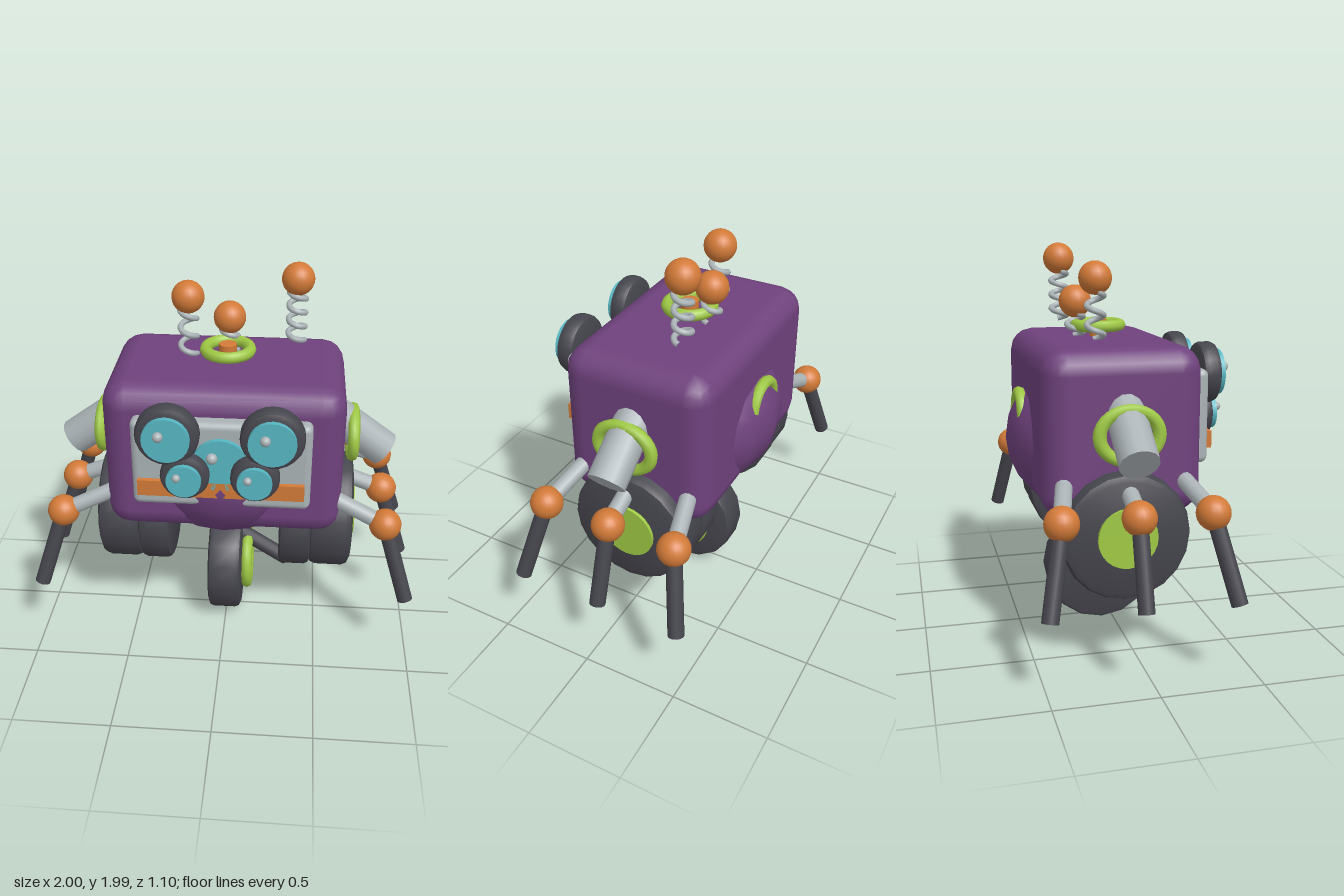
import * as THREE from 'three';
import { RoundedBoxGeometry } from 'three/addons/geometries/RoundedBoxGeometry.js';
import { toCreasedNormals } from 'three/addons/utils/BufferGeometryUtils.js';

const paint = (name, color) => {
  const m = new THREE.MeshStandardMaterial({ color });
  m.name = name;
  return m;
};
const V = (x, y, z) => new THREE.Vector3(x, y, z);
const CZ = -0.06; // depth of the body centre

export function createModel() {
  const root = new THREE.Group();
  root.name = 'robot';
  const purple = paint('purple', 0x6f427d);
  const grey = paint('grey', 0xaab2b5);
  const orange = paint('orange', 0xd27a38);
  const rubber = paint('rubber', 0x45454d);
  const teal = paint('teal', 0x56b6c2);
  const green = paint('green', 0x9fc945);

  const add = (name, geometry, material, x = 0, y = 0, z = 0) => {
    const mesh = new THREE.Mesh(geometry, material);
    mesh.name = name;
    mesh.position.set(x, y, z);
    root.add(mesh);
    return mesh;
  };
  const ball = (name, r, mat, x, y, z) => add(name, new THREE.SphereGeometry(r, 20, 14), mat, x, y, z);

  // cylinder between two points
  const rod = (name, a, b, r, mat, sides = 12) => {
    const dir = b.clone().sub(a);
    const mesh = add(name, new THREE.CylinderGeometry(r, r, dir.length(), sides), mat);
    mesh.position.copy(a).add(b).multiplyScalar(0.5);
    mesh.quaternion.setFromUnitVectors(V(0, 1, 0), dir.normalize());
    return mesh;
  };

  // bevelled disc between two points, used for tyres
  const tyre = (name, a, b, r, bevel, sides = 20) => {
    const dir = b.clone().sub(a), h = dir.length() / 2, k = bevel * 0.3;
    const profile = [[0, -h], [r - bevel, -h], [r - k, -h + k], [r, -h + bevel],
      [r, h - bevel], [r - k, h - k], [r - bevel, h], [0, h]].map(p => new THREE.Vector2(...p));
    const mesh = add(name, toCreasedNormals(new THREE.LatheGeometry(profile, sides), 0.7), rubber);
    mesh.position.copy(a).add(b).multiplyScalar(0.5);
    mesh.quaternion.setFromUnitVectors(V(0, 1, 0), dir.normalize());
    return mesh;
  };
  const ring = (name, R, x, y, z, rx = 0, ry = 0) => {
    const mesh = add(name, new THREE.TorusGeometry(R, 0.03, 8, 28), green, x, y, z);
    mesh.rotation.set(rx, ry, 0);
    return mesh;
  };

  // body and belly
  add('body', new RoundedBoxGeometry(1.2, 0.81, 0.78, 2, 0.12), purple, 0, 1.125, CZ);
  add('belly', new THREE.SphereGeometry(0.49, 16, 12), purple, 0, 1.02, CZ).scale.y = 0.88;

  // face panel and mouth bar
  add('facePanel', new RoundedBoxGeometry(0.88, 0.47, 0.1, 3, 0.035), grey, 0, 1.165, 0.35);
  add('mouthBar', new THREE.BoxGeometry(0.82, 0.085, 0.06), orange, 0, 1.045, 0.395);

  // eyes: centre lens, then big and small pairs framed by tyres
  rod('centreLens', V(0, 1.185, 0.36), V(0, 1.185, 0.425), 0.14, teal, 24);
  ball('centreGlint', 0.028, grey, -0.04, 1.23, 0.43);
  for (const s of [-1, 1]) {
    for (const [x, y, r, lens, glint] of [[0.25, 1.36, 0.155, 0.115, 0.025], [0.17, 1.14, 0.12, 0.085, 0.02]]) {
      tyre('eyeTyre', V(s * x, y, 0.385), V(s * x, y, 0.485), r, 0.03, 24);
      rod('eyeLens', V(s * x, y, 0.45), V(s * x, y, 0.51), lens, teal, 24);
      ball('eyeGlint', glint, grey, s * x - 0.032, y + 0.03, 0.525);
    }
  }

  // rings and hubs on the top and back
  ring('topRing', 0.113, 0, 1.587, CZ, Math.PI / 2);
  rod('topHub', V(0, 1.5, CZ), V(0, 1.615, CZ), 0.045, orange);
  ring('backRing', 0.12, 0, 1.13, -0.475);

  // spring antennae
  for (const [x, z, y0, y1, turns, top] of [
    [-0.205, -0.12, 1.53, 1.77, 2.5, 1.835],
    [0, -0.18, 1.53, 1.65, 1.5, 1.71],
    [0.34, -0.2, 1.59, 1.85, 3.5, 1.915]]) {
    const points = [];
    const n = turns * 12;
    for (let i = 0; i <= n; i++) {
      const a = (i / 12) * Math.PI * 2;
      points.push(V(x + 0.042 * Math.cos(a), y0 + (y1 - y0) * i / n, z + 0.042 * Math.sin(a)));
    }
    add('antennaSpring', new THREE.TubeGeometry(new THREE.CatmullRomCurve3(points), n * 2, 0.015, 8), grey);
    ball('antennaBall', 0.083, orange, x, top, z);
  }

  for (const s of [-1, 1]) {
    // side ring, hub and slanted arm
    ring('sideRing', 0.13, s * 0.655, 1.14, CZ, 0, Math.PI / 2).scale.set(1.1, 0.93, 1);
    rod('sideHub', V(s * 0.55, 1.11, CZ), V(s * 0.63, 1.11, CZ), 0.045, orange);
    rod('sideArm', V(s * 0.545, 1.25, CZ), V(s * 0.825, 1.045, CZ), 0.095, grey, 14);

    // three jointed legs
    for (const [hip, knee, foot] of [[0.225, 0.29, 0.38], [CZ, CZ, CZ], [-0.355, -0.415, -0.495]]) {
      rod('upperLeg', V(s * 0.52, 0.92, hip - (knee - hip) * 0.2), V(s * 0.83, 0.8, knee), 0.042, grey);
      ball('knee', 0.082, orange, s * 0.83, 0.8, knee);
      rod('lowerLeg', V(s * 0.83, 0.8, knee), V(s * 0.96, 0.395, foot), 0.04, rubber);
    }

    // paired side wheels with a hubcap
    tyre('innerWheel', V(s * 0.29, 0.653, -0.07), V(s * 0.46, 0.653, -0.07), 0.318, 0.03);
    tyre('outerWheel', V(s * 0.45, 0.653, -0.07), V(s * 0.675, 0.653, -0.07), 0.314, 0.04);
    rod('hubcap', V(s * 0.66, 0.655, -0.073), V(s * 0.692, 0.655, -0.073), 0.145, green, 24);
  }

  // single wheel under the belly with its strut
  tyre('lowerWheel', V(-0.093, 0.3, CZ), V(0.087, 0.3, CZ), 0.295, 0.03, 16);
  ring('lowerWheelRing', 0.147, 0.115, 0.295, CZ, 0, Math.PI / 2);
  rod('strutUpper', V(-0.3, 0.69, CZ), V(0, 0.51, CZ), 0.04, grey);
  rod('strutLower', V(0, 0.52, CZ), V(0.335, 0.3, CZ), 0.042, rubber);

  return root;
}
